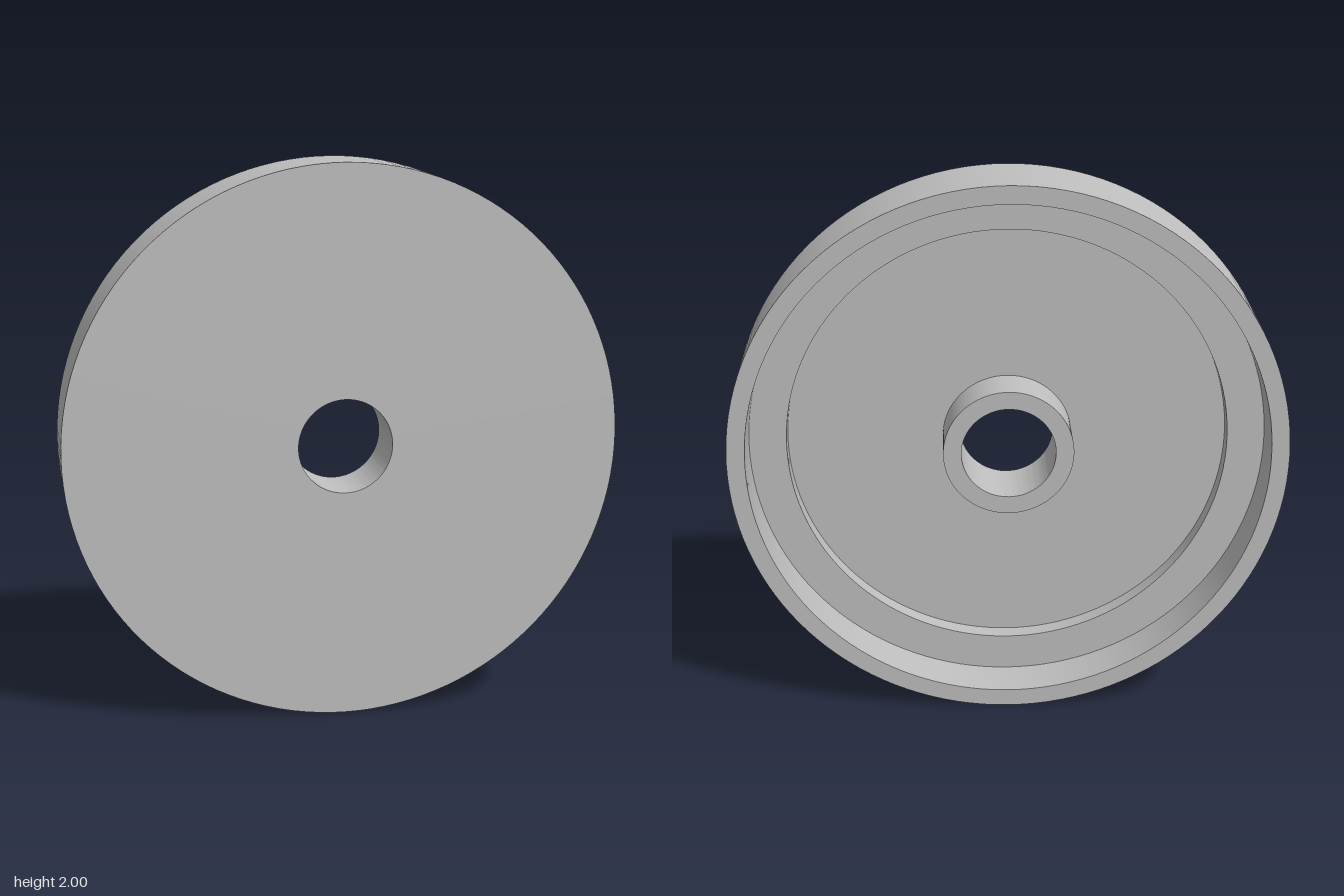
import * as THREE from 'three';
import { toCreasedNormals } from 'three/addons/utils/BufferGeometryUtils.js';

export function createModel() {
  const group = new THREE.Group();
  group.name = 'steppedDisc';
  const grey = new THREE.MeshStandardMaterial({ color: 0xbfbfbf });
  grey.name = 'grey';

  // Closed cross-section as (radius, depth), front face at +0.15
  const profile = [
    [1, -0.15], [1, 0.15],            // outer wall
    [0.17, 0.15], [0.17, -0.085],     // front face and bore
    [0.235, -0.085], [0.235, 0.085],  // hub end and hub wall
    [0.8, 0.085], [0.8, 0.02],        // recess floor and step
    [0.935, 0.02], [0.935, -0.15],    // ledge and inside of rim
    [1, -0.15],                       // rim edge
  ].map(([r, d]) => new THREE.Vector2(r, d));

  const geometry = toCreasedNormals(new THREE.LatheGeometry(profile, 128), 0.5);
  geometry.rotateX(Math.PI / 2); // turn the axis towards the front

  const disc = new THREE.Mesh(geometry, grey);
  disc.name = 'discWithHubAndRim';
  disc.position.y = 1;
  group.add(disc);
  return group;
}
